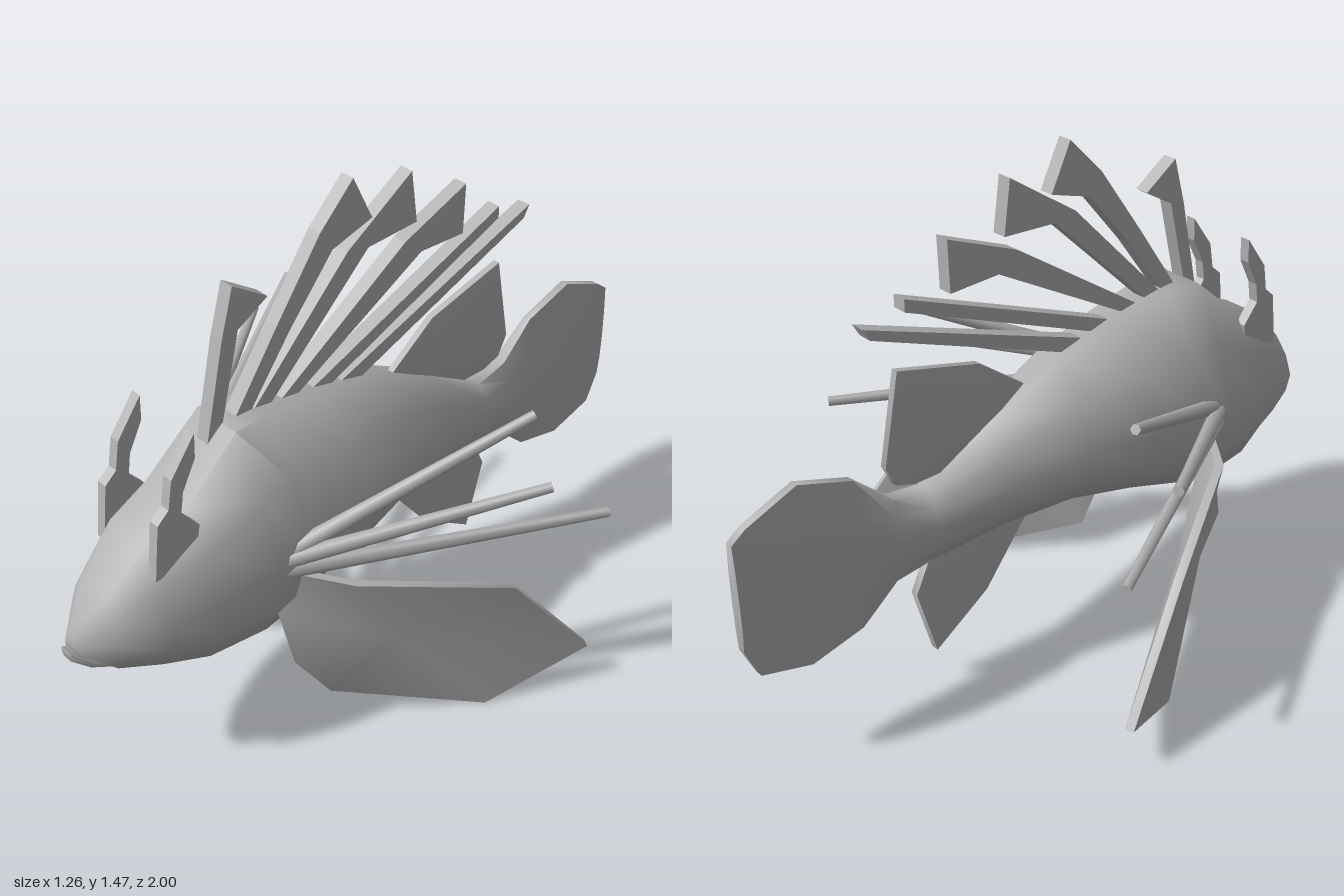
import * as THREE from 'three';
import { toCreasedNormals } from 'three/addons/utils/BufferGeometryUtils.js';

const skin = new THREE.MeshStandardMaterial({ color: 0xb2b2b2 });
skin.name = 'plain grey';

function geometryFrom(vertices, index, crease) {
  const g = new THREE.BufferGeometry();
  g.setAttribute('position', new THREE.Float32BufferAttribute(vertices.flat(), 3));
  g.setIndex(index);
  return toCreasedNormals(g, crease);
}

// Closed skin over rings listed front to back: [z, top, middle, bottom, topHalf, midHalf, bottomHalf]
function loft(rings) {
  const v = [], idx = [], n = 10;
  for (const [z, top, mid, bot, tw, w, bw] of rings) {
    const half = [
      [bw, bot], [w * 0.66 + bw * 0.4, mid + (bot - mid) * 0.55], [w, mid],
      [w * 0.6 + tw * 0.45, mid + (top - mid) * 0.55], [tw, top],
    ];
    for (const [x, y] of half) v.push([x, y, z]);
    for (const [x, y] of half.reverse()) v.push([-x, y, z]);
  }
  const last = (rings.length - 1) * n;
  for (let r = 0; r < rings.length - 1; r++) for (let i = 0; i < n; i++) {
    const a = r * n + i, b = r * n + (i + 1) % n;
    idx.push(a, a + n, b, b, a + n, b + n);
  }
  const c = v.length, f = rings[0], e = rings[rings.length - 1];
  v.push([0, f[2], f[0]], [0, e[2], e[0]]);
  for (let i = 0; i < n; i++) {
    const j = (i + 1) % n;
    idx.push(c, i, j, c + 1, last + j, last + i);
  }
  return geometryFrom(v, idx, 1.15);
}

// Fin: an outline with a thin rim that swells towards its centre on both faces
function fin(outline, normal, rim, swell) {
  const n = normal.clone().normalize();
  let p = outline.map(q => new THREE.Vector3(...q));
  const centre = p.reduce((s, q) => s.add(q), new THREE.Vector3()).divideScalar(p.length);
  const area = new THREE.Vector3();
  p.forEach((q, i) => area.add(q.clone().sub(centre).cross(p[(i + 1) % p.length].clone().sub(centre))));
  if (area.dot(n) < 0) p = p.reverse();
  const k = p.length, idx = [];
  const at = (q, d) => q.clone().addScaledVector(n, d).toArray();
  const v = [...p.map(q => at(q, rim)), ...p.map(q => at(q, -rim)), at(centre, swell), at(centre, -swell)];
  for (let i = 0; i < k; i++) {
    const j = (i + 1) % k;
    idx.push(2 * k, i, j, 2 * k + 1, k + j, k + i, k + i, k + j, j, k + i, j, i);
  }
  return geometryFrom(v, idx, 0.8);
}

// Upright blade cut from a side outline of [z, y] points, centred on x = 0
function blade(points, width) {
  const shape = new THREE.Shape(points.map(([z, y]) => new THREE.Vector2(-z, y)));
  const g = new THREE.ExtrudeGeometry(shape, { depth: width, bevelEnabled: false });
  return g.translate(0, 0, -width / 2).rotateY(Math.PI / 2);
}

// Tapering ray between two points
function ray(a, b, r0, r1) {
  const from = new THREE.Vector3(...a), to = new THREE.Vector3(...b);
  const d = to.clone().sub(from);
  const g = new THREE.CylinderGeometry(r1, r0, d.length(), 6);
  g.applyQuaternion(new THREE.Quaternion().setFromUnitVectors(new THREE.Vector3(0, 1, 0), d.normalize()));
  const m = from.add(to).multiplyScalar(0.5);
  return g.translate(m.x, m.y, m.z);
}

export function createModel() {
  const group = new THREE.Group();
  const add = (name, geometry) => {
    const m = new THREE.Mesh(geometry, skin);
    m.name = name;
    group.add(m);
    return m;
  };

  // Body running into the tail fin
  add('body', loft([
    [0.985, 0.555, 0.53, 0.51, 0.012, 0.025, 0.025],
    [0.9, 0.66, 0.55, 0.44, 0.05, 0.115, 0.065],
    [0.79, 0.775, 0.57, 0.405, 0.07, 0.16, 0.1],
    [0.67, 0.825, 0.59, 0.378, 0.08, 0.19, 0.135],
    [0.5, 0.97, 0.62, 0.375, 0.075, 0.228, 0.155],
    [0.4, 0.965, 0.64, 0.39, 0.065, 0.237, 0.15],
    [0.2, 0.935, 0.66, 0.445, 0.05, 0.232, 0.13],
    [0, 0.885, 0.66, 0.48, 0.04, 0.185, 0.1],
    [-0.22, 0.775, 0.62, 0.478, 0.03, 0.125, 0.07],
    [-0.43, 0.65, 0.56, 0.45, 0.025, 0.072, 0.04],
    [-0.54, 0.67, 0.55, 0.42, 0.018, 0.052, 0.02],
    [-0.65, 0.77, 0.55, 0.32, 0.012, 0.036, 0.012],
    [-0.81, 0.825, 0.55, 0.285, 0.012, 0.028, 0.012],
    [-0.96, 0.765, 0.55, 0.33, 0.012, 0.02, 0.012],
    [-1, 0.735, 0.55, 0.42, 0.012, 0.018, 0.012],
  ]));

  // Jutting lower lip
  add('lowerJaw', loft([
    [1, 0.525, 0.515, 0.495, 0.015, 0.022, 0.015],
    [0.955, 0.495, 0.475, 0.455, 0.03, 0.045, 0.03],
    [0.88, 0.48, 0.445, 0.425, 0.04, 0.065, 0.05],
  ]));

  // Free dorsal spines, the front four ending in flags
  const spines = [
    [[0.55, 0.92], [0.485, 1.2], [0.445, 1.335], [0.34, 1.265], [0.435, 1.21], [0.51, 0.92]],
    [[0.49, 0.92], [0.315, 1.17], [0.17, 1.37], [0.06, 1.48], [-0.003, 1.35], [0.13, 1.31], [0.275, 1.14], [0.44, 0.92]],
    [[0.44, 0.92], [0.08, 1.285], [-0.14, 1.43], [-0.16, 1.28], [0.01, 1.27], [0.38, 0.92]],
    [[0.37, 0.91], [-0.12, 1.235], [-0.34, 1.325], [-0.335, 1.18], [-0.18, 1.185], [0.31, 0.91]],
    [[0.29, 0.9], [-0.475, 1.21], [-0.475, 1.175], [0.21, 0.89]],
    [[0.19, 0.88], [-0.6, 1.17], [-0.58, 1.135], [0.09, 0.87]],
  ];
  spines.forEach((s, i) => add('dorsalSpine' + (i + 1), blade(s, 0.042)));

  // Soft dorsal and anal fins on the centre line
  const sideways = new THREE.Vector3(1, 0, 0);
  const flat = pts => pts.map(([z, y]) => [0, y, z]);
  add('rearDorsalFin', fin(flat([
    [-0.04, 0.8], [-0.24, 0.95], [-0.5, 1.02], [-0.55, 0.76], [-0.52, 0.7], [-0.46, 0.68], [-0.38, 0.68], [-0.2, 0.74],
  ]), sideways, 0.01, 0.035));
  add('analFin', fin(flat([
    [-0.03, 0.5], [-0.235, 0.24], [-0.415, 0.122], [-0.475, 0.335], [-0.42, 0.45], [-0.3, 0.5],
  ]), sideways, 0.012, 0.03));

  for (const s of [1, -1]) {
    const side = s > 0 ? 'left' : 'right';
    const mirror = ([x, y, z]) => [s * x, y, z];

    // Broad pectoral fin swept back and outward
    add(side + 'PectoralFin', fin([
      [0.2, 0.57, 0.44], [0.33, 0.555, 0.345], [0.54, 0.455, -0.03], [0.615, 0.14, -0.27],
      [0.485, 0.008, 0], [0.22, 0.095, 0.34], [0.22, 0.29, 0.465], [0.18, 0.44, 0.48],
    ].map(mirror), new THREE.Vector3(s * 0.87, 0, 0.5), 0.012, 0.03));

    // Three long rays above the pectoral fin
    [
      [[0.2, 0.64, 0.46], [0.475, 0.918, -0.14]],
      [[0.2, 0.625, 0.48], [0.585, 0.775, -0.095]],
      [[0.2, 0.595, 0.48], [0.618, 0.6, -0.3]],
    ].forEach(([a, b], i) => add(side + 'PectoralRay' + (i + 1), ray(mirror(a), mirror(b), 0.024, 0.014)));

    // Horn-like flap over the eye
    const horn = add(side + 'BrowHorn', blade([
      [0.8, 0.7], [0.78, 0.86], [0.745, 0.89], [0.73, 0.97], [0.655, 1.07], [0.658, 1.0],
      [0.7, 0.92], [0.71, 0.86], [0.66, 0.8], [0.68, 0.7],
    ], 0.03));
    horn.position.x = s * 0.105;
  }
  return group;
}
